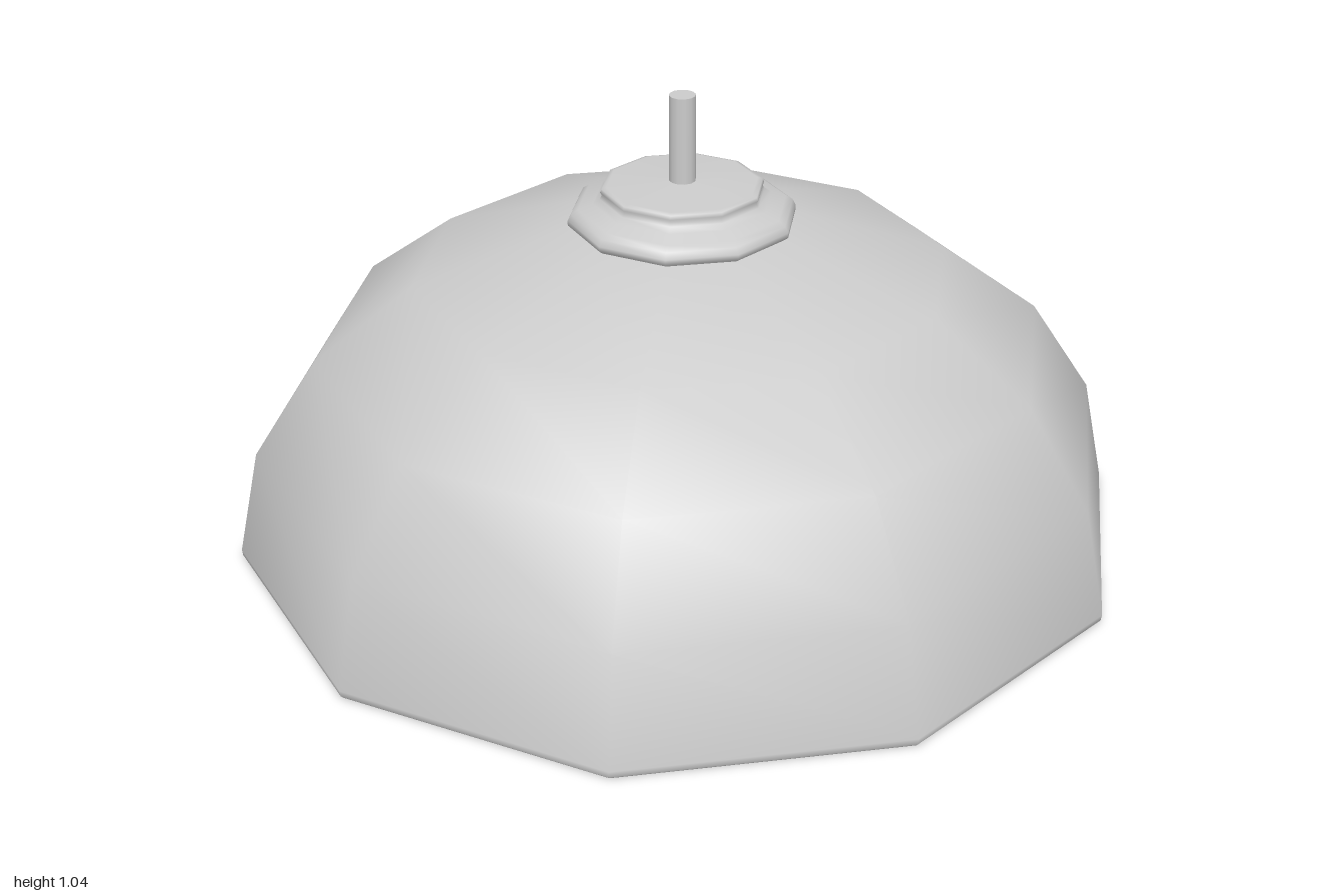
import * as THREE from 'three';

const SIDES = 10;

export function createModel() {
  const group = new THREE.Group();
  const material = new THREE.MeshStandardMaterial({ color: 0xcccccc });

  function add(name, geometry) {
    const mesh = new THREE.Mesh(geometry, material);
    mesh.name = name;
    group.add(mesh);
    return mesh;
  }

  // Ten-sided turned part with a corner on the x axis
  function turned(name, profile) {
    const points = profile.map(([r, y]) => new THREE.Vector2(r, y));
    const mesh = add(name, new THREE.LatheGeometry(points, SIDES, Math.PI / 2));
    mesh.scale.z = 0.989;
    return mesh;
  }

  // Hollow shade: inner wall downwards, rounded rim, outer wall upwards
  turned('shade', [
    [0, 0.735], [0.245, 0.73], [0.575, 0.622], [0.79, 0.462], [0.93, 0.255],
    [0.975, 0.02], [0.977, 0.005], [0.982, 0],
    [0.992, 0], [0.998, 0.006], [1, 0.02],
    [0.95, 0.26], [0.81, 0.475], [0.59, 0.64], [0.25, 0.75], [0, 0.755],
  ]);

  // Stepped collar on the crown
  turned('collar', [
    [0.235, 0.745], [0.25, 0.757], [0.25, 0.768], [0.243, 0.782], [0.228, 0.792],
    [0.195, 0.803], [0.18, 0.813], [0.175, 0.822], [0.179, 0.828],
    [0.176, 0.836], [0.165, 0.839], [0, 0.847],
  ]);

  // Hanging rod
  const rod = add('rod', new THREE.CylinderGeometry(0.029, 0.029, 0.21, 12));
  rod.position.y = 0.935;

  return group;
}
